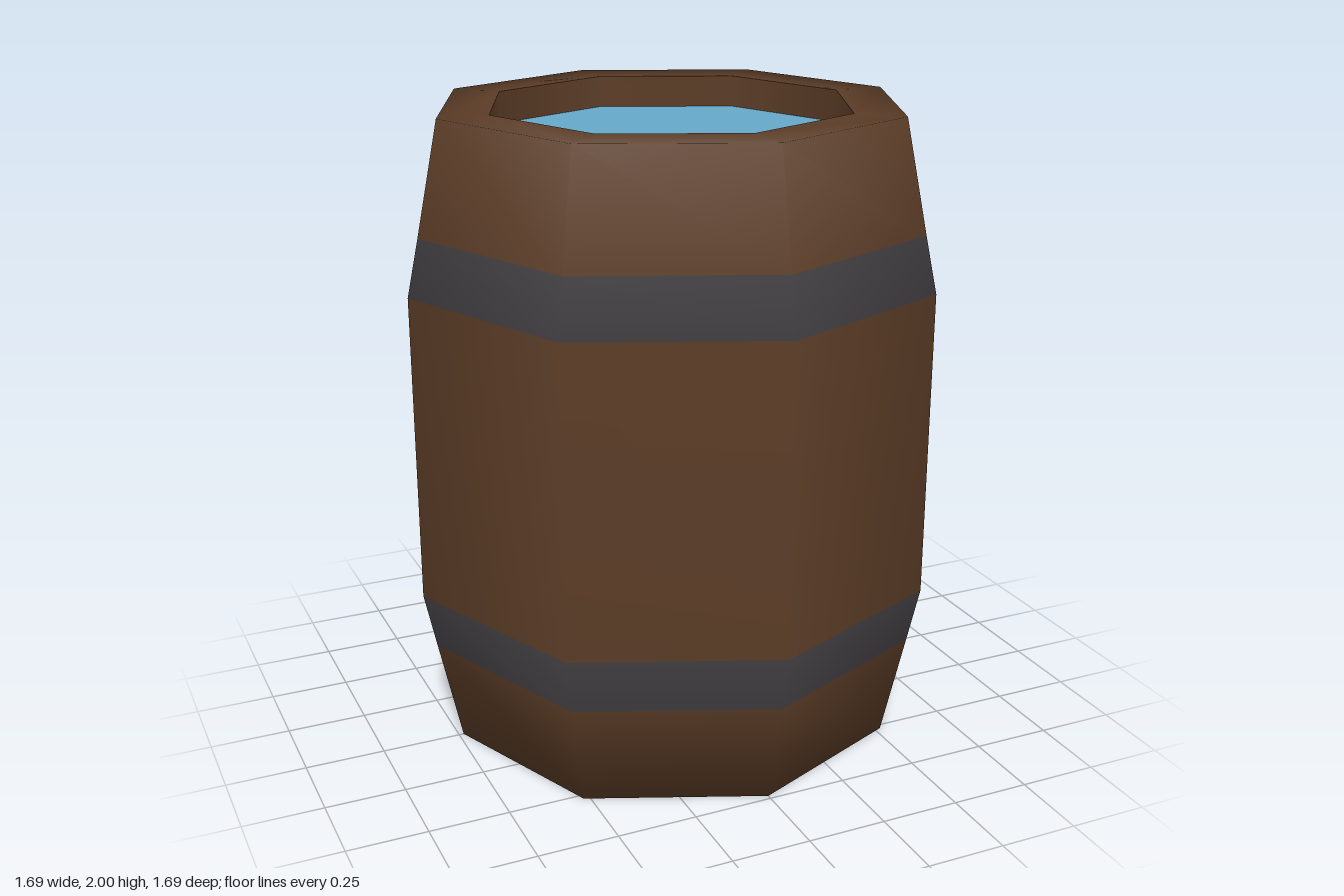
import * as THREE from 'three';

const SIDES = 8;

function material(name, color) {
  const m = new THREE.MeshStandardMaterial({ color });
  m.name = name;
  return m;
}

export function createModel() {
  const wood = material('wood', 0x5c3d27);
  const iron = material('iron', 0x423f42);
  const water = material('water', 0x65a8c8);

  const group = new THREE.Group();
  group.name = 'waterBarrel';
  const add = (name, geometry, mat) => {
    const mesh = new THREE.Mesh(geometry, mat);
    mesh.name = name;
    group.add(mesh);
    return mesh;
  };

  // Smooth eight-sided shell: base, bulging staves, two flush hoops and top rim
  const profile = [
    [0, 0], [0.735, 0], [0.807, 0.335], [0.845, 0.515],
    [0.845, 1.48], [0.807, 1.655], [0.735, 2], [0.575, 2],
  ].map(([r, y]) => new THREE.Vector2(r, y));
  const shell = new THREE.LatheGeometry(profile, SIDES);

  // Rows 2 and 4 of each side are the iron hoops
  const rows = profile.length - 1;
  for (let i = 0; i < SIDES * rows; i++) {
    const row = i % rows;
    shell.addGroup(i * 6, 6, row === 2 || row === 4 ? 1 : 0);
  }
  add('shellWithHoops', shell, [wood, iron]);

  // Inner wall of the opening, down to the water
  const wall = [new THREE.Vector2(0.575, 2), new THREE.Vector2(0.575, 1.9)];
  add('innerWall', new THREE.LatheGeometry(wall, SIDES), wood);

  // Water surface
  const surface = add('waterSurface', new THREE.CircleGeometry(0.575, SIDES).rotateX(-Math.PI / 2), water);
  surface.position.y = 1.9;

  return group;
}
